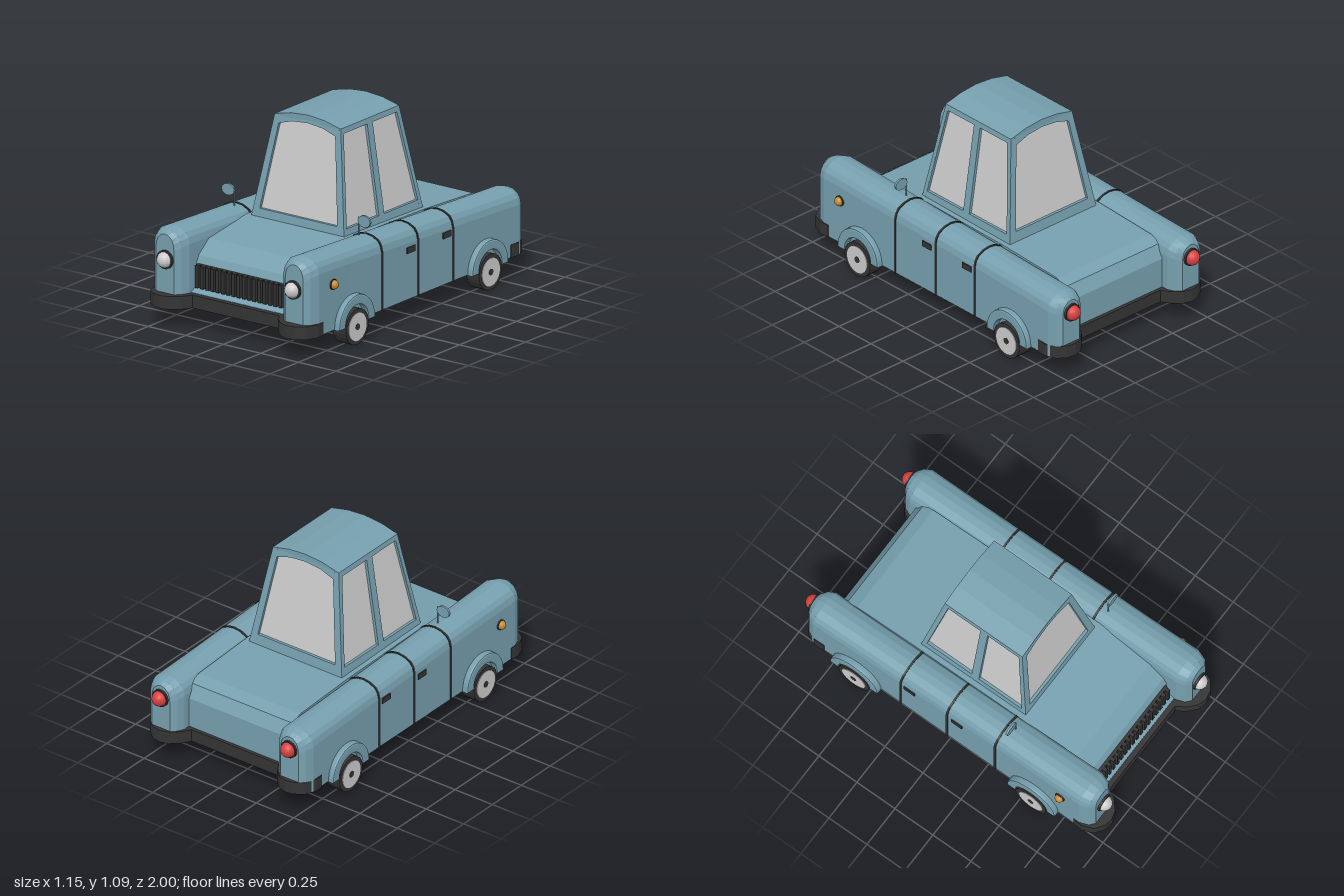
import * as THREE from 'three';

const mat = (color) => new THREE.MeshStandardMaterial({ color, flatShading: true, side: THREE.DoubleSide });
const PAINT = mat(0x769fae), DARK = mat(0x343434), GREY = mat(0xcccccc), RED = mat(0xd84040), AMBER = mat(0xc98a2e);

const toShape = (pts) => new THREE.Shape(pts.map(([x, y]) => new THREE.Vector2(x, y)));
const extrude = (shape, depth) => new THREE.ExtrudeGeometry(shape, { depth, bevelEnabled: false, curveSegments: 12 });

// Flat-shaded skin over cross-sections listed from +z to -z, each counter-clockwise
function loft(rings) {
  const pos = [], n = rings[0].length;
  const tri = (a, b, c) => pos.push(...a, ...b, ...c);
  for (let k = 0; k + 1 < rings.length; k++) {
    for (let i = 0; i < n; i++) {
      const j = (i + 1) % n, p = rings[k], q = rings[k + 1];
      tri(p[i], q[i], q[j]);
      tri(p[i], q[j], p[j]);
    }
  }
  const first = rings[0], last = rings[rings.length - 1];
  for (let i = 1; i < n - 1; i++) {
    tri(first[0], first[i], first[i + 1]);
    tri(last[0], last[i + 1], last[i]);
  }
  const g = new THREE.BufferGeometry();
  g.setAttribute('position', new THREE.Float32BufferAttribute(pos, 3));
  g.computeVertexNormals();
  return g;
}

// Fender cross-section: upright slab with a rounded crown
const fenderRing = (z, w, top, base = 0.118) => [
  [-w, base, z], [w, base, z], [w, top - 0.085, z], [w * 0.92, top - 0.05, z], [w * 0.75, top - 0.025, z],
  [w * 0.38, top - 0.006, z], [0, top, z], [-w * 0.38, top - 0.006, z],
  [-w * 0.75, top - 0.025, z], [-w * 0.92, top - 0.05, z], [-w, top - 0.085, z],
];
const fenderTop = (z) => 0.512 + z * 0.0394;

export function createModel() {
  const car = new THREE.Group();
  car.name = 'car';
  const add = (name, geo, material, x = 0, y = 0, z = 0, parent = car) => {
    const m = new THREE.Mesh(geo, material);
    m.name = name;
    m.position.set(x, y, z);
    parent.add(m);
    return m;
  };

  // Central body: side profile (z, y) swept across the width
  const profile = [[0.86, 0.118], [0.86, 0.19], [0.81, 0.215], [0.81, 0.34], [0.79, 0.38], [0.7, 0.45], [0.35, 0.49],
    [-0.34, 0.478], [-0.735, 0.458], [-0.8, 0.43], [-0.84, 0.36], [-0.84, 0.118]];
  add('body', extrude(toShape(profile), 0.68).translate(0, 0, -0.34).rotateY(-Math.PI / 2), PAINT);

  // Tapered underbody pan
  const rect = (x, y, z) => [[-x, -y, z], [x, -y, z], [x, y, z], [-x, y, z]];
  add('underbody', loft([rect(0.41, 0.82, 0.125), rect(0.31, 0.7, 0.065)]).rotateX(-Math.PI / 2), PAINT);

  // Grille with upright bars
  add('grillePanel', new THREE.BoxGeometry(0.62, 0.125, 0.02), DARK, 0, 0.2775, 0.817);
  for (let i = 0; i < 18; i++) {
    add('grilleBar', new THREE.BoxGeometry(0.02, 0.125, 0.025), DARK, -0.295 + i * 0.0347, 0.2775, 0.835);
  }

  // Bumpers wrapping the fender ends
  const outer = [[0.29, 0.89], [0.32, 0.94], [0.37, 0.985], [0.42, 1], [0.47, 0.99], [0.52, 0.955], [0.545, 0.89], [0.54, 0.835]];
  const inner = [[0.5, 0.835], [0.5, 0.9], [0.47, 0.935], [0.39, 0.935], [0.34, 0.89], [0.3, 0.84]];
  const half = [...outer, ...inner];
  const flip = (pts) => pts.map(([x, z]) => [-x, z]).reverse();
  const loop = [...half.slice(0, 8), ...inner, ...flip(inner), ...flip(outer)];
  for (const [name, f] of [['frontBumper', (z) => z], ['rearBumper', (z) => 0.03 - z]]) {
    const geo = extrude(toShape(loop.map(([x, z]) => [x, f(z)])), 0.072);
    add(name, geo.rotateX(Math.PI / 2), DARK, 0, 0.188, 0);
  }

  // Cabin: sheared wall frames with window openings
  const Y0 = 0.49, LEAN = 0.157;
  const lean = (geo, axis, dir) => {
    const p = geo.attributes.position;
    for (let i = 0; i < p.count; i++) {
      const v = axis === 'x' ? p.getX(i) : p.getZ(i);
      const moved = v - dir * LEAN * (p.getY(i) - Y0);
      if (axis === 'x') p.setX(i, moved); else p.setZ(i, moved);
    }
    geo.computeVertexNormals();
    return geo;
  };
  const crown = [[0.22, 1.05], [0.11, 1.076], [0, 1.085], [-0.11, 1.076], [-0.22, 1.05]];
  const lower = (dy) => crown.map(([x, y]) => [x, y - dy]);
  const endWall = [[-0.313, 0.46], [0.313, 0.46], ...lower(0.01)];
  const endWindow = [[-0.258, 0.535], [0.258, 0.535], [0.188, 1.005], [0.1, 1.031], [0, 1.04], [-0.1, 1.031], [-0.188, 1.005]];
  const sideWall = [[0.354, 0.46], [0.262, 1.05], [-0.247, 1.05], [-0.339, 0.46]];
  const sideWindows = [
    [[0.322, 0.525], [0.243, 1.02], [0.037, 1.02], [0.037, 0.525]],
    [[-0.01, 0.525], [-0.01, 1.02], [-0.222, 1.02], [-0.303, 0.525]],
  ];
  const T = 0.026;
  const framed = (wall, holes) => {
    const s = toShape(wall);
    holes.forEach((h) => s.holes.push(toShape(h)));
    return extrude(s, T).translate(0, 0, -T / 2);
  };
  for (const d of [1, -1]) {
    const z = d > 0 ? 0.35 : -0.335;
    const end = d > 0 ? 'front' : 'rear';
    add(end + 'WindowFrame', lean(framed(endWall, [endWindow]), 'z', d), PAINT, 0, 0, z - d * T / 2);
    add(end + 'Window', lean(new THREE.ShapeGeometry(toShape(endWindow)), 'z', d), GREY, 0, 0, z - d * 0.016);
    const side = d > 0 ? 'left' : 'right';
    const turn = (g) => lean(g.rotateY(-Math.PI / 2), 'x', d);
    add(side + 'WindowFrame', turn(framed(sideWall, sideWindows)), PAINT, d * (0.308 - T / 2), 0, 0);
    for (const w of sideWindows) {
      add(side + 'Window', turn(new THREE.ShapeGeometry(toShape(w))), GREY, d * 0.292, 0, 0);
    }
  }
  add('roof', extrude(toShape([...crown, ...lower(0.03).reverse()]), 0.51), PAINT, 0, 0, -0.247);

  // Everything that repeats on both sides
  for (const s of [1, -1]) {
    const side = new THREE.Group();
    side.name = s > 0 ? 'leftSide' : 'rightSide';
    car.add(side);
    const put = (name, geo, m, x, y, z) => add(name, geo, m, s * x, y, z, side);

    // Long fender with chamfered ends
    const sections = [[0.945, 0.06, 0.515], [0.92, 0.09, 0.532], [0.87, 0.108, 0.546], [0.6, 0.105, fenderTop(0.6)],
      [-0.6, 0.105, fenderTop(-0.6)], [-0.88, 0.108, 0.478], [-0.92, 0.09, 0.466], [-0.945, 0.06, 0.448]];
    put('fender', loft(sections.map((a) => fenderRing(...a))), PAINT, 0.43, 0, 0);

    // Door seams
    for (const z of [0.315, 0, -0.305]) {
      const t = fenderTop(z) + 0.004;
      put('doorSeam', loft([fenderRing(z + 0.006, 0.109, t, 0.114), fenderRing(z - 0.006, 0.109, t, 0.114)]), DARK, 0.43, 0, 0);
    }

    // Door handles
    for (const z of [0.065, -0.247]) {
      put('doorHandle', new THREE.BoxGeometry(0.02, 0.033, 0.07), DARK, 0.531, 0.392, z);
    }

    // Wheels and arches
    for (const z of [0.575, -0.59]) {
      const disc = (r, w) => new THREE.CylinderGeometry(r, r, w, 28).rotateZ(Math.PI / 2);
      put('tire', disc(0.1, 0.085), DARK, 0.525, 0.1, z);
      put('hub', disc(0.078, 0.01), GREY, 0.566, 0.1, z);
      put('hubCap', disc(0.018, 0.008), DARK, 0.569, 0.1, z);
      const arch = new THREE.Shape();
      arch.absarc(0, 0, 0.148, 0, Math.PI, false);
      arch.absarc(0, 0, 0.108, Math.PI, 0, true);
      const geo = new THREE.ExtrudeGeometry(arch, { depth: 0.055, bevelSize: 0.008, bevelThickness: 0.012, bevelSegments: 2, curveSegments: 14 });
      put('wheelArch', geo.translate(0, 0, -0.0275).rotateY(Math.PI / 2), PAINT, 0.532, 0.122, z);
    }

    // Lamps on dark rims
    const rim = (r, h) => new THREE.CylinderGeometry(r, r, h, 20);
    put('headlightRim', rim(0.052, 0.025).rotateX(Math.PI / 2), DARK, 0.425, 0.375, 0.945);
    put('headlight', new THREE.SphereGeometry(0.044, 16, 12), GREY, 0.425, 0.375, 0.953);
    put('tailLightRim', rim(0.05, 0.025).rotateX(Math.PI / 2), DARK, 0.43, 0.375, -0.945);
    put('tailLight', new THREE.SphereGeometry(0.043, 16, 12), RED, 0.43, 0.375, -0.957);
    put('sideMarkerRim', rim(0.03, 0.016).rotateZ(Math.PI / 2), DARK, 0.536, 0.375, 0.745);
    put('sideMarker', new THREE.SphereGeometry(0.026, 12, 10), AMBER, 0.543, 0.375, 0.745);

    // Wing mirror
    put('mirrorStem', new THREE.CylinderGeometry(0.004, 0.004, 0.11, 8), PAINT, 0.413, 0.57, 0.36);
    put('mirrorHead', new THREE.CylinderGeometry(1, 1, 1, 12).rotateX(Math.PI / 2).scale(0.042, 0.033, 0.012), PAINT, 0.453, 0.608, 0.36);
  }
  return car;
}
